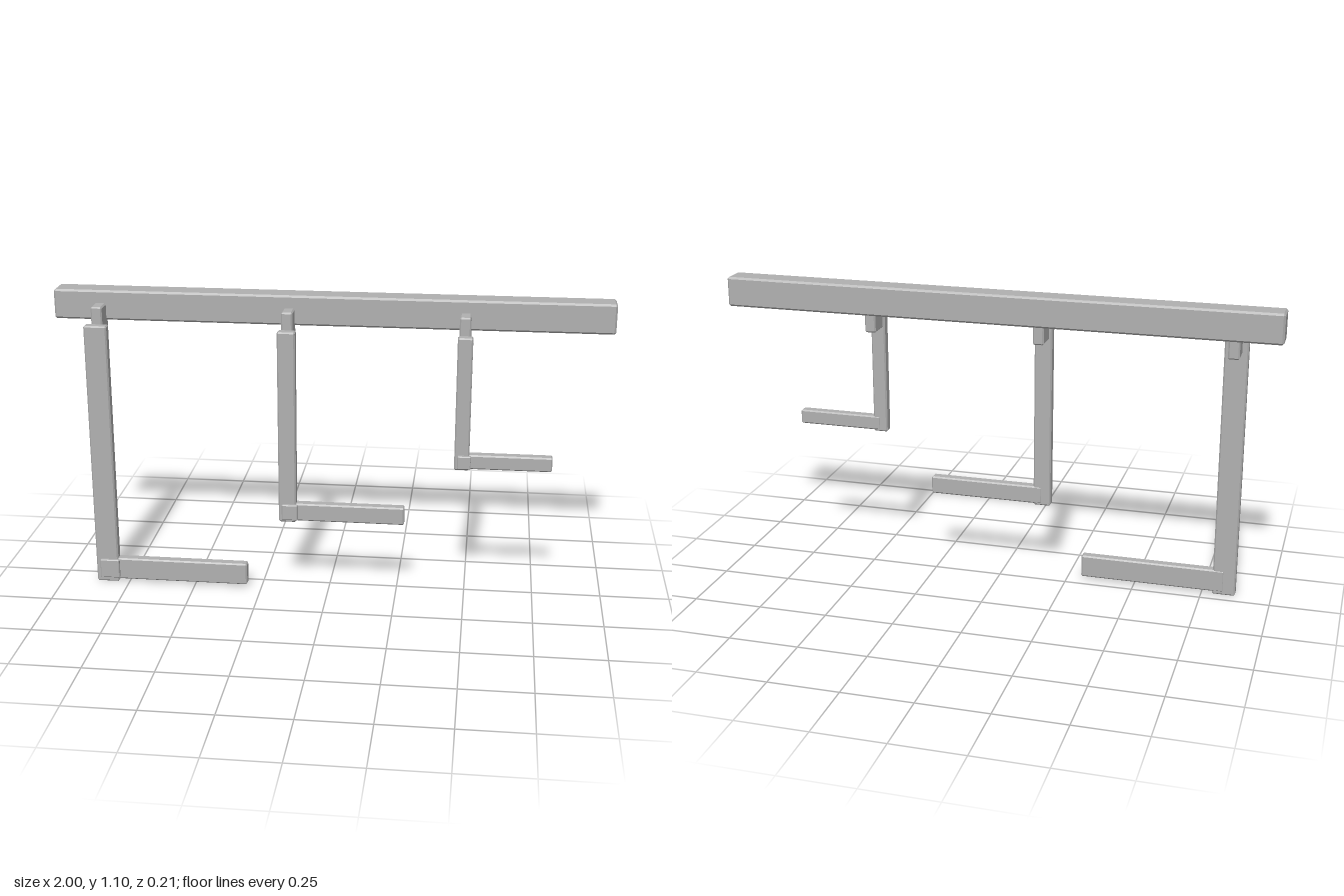
import * as THREE from 'three';
import { ConvexGeometry } from 'three/addons/geometries/ConvexGeometry.js';

const grey = new THREE.MeshStandardMaterial({ color: 0xb0b0b0 });
grey.name = 'grey';

// Box with chamfered edges, given by its [min, max] range on each axis
function chamferBox(name, x, y, z, bevel) {
  const ranges = [x, y, z];
  const half = ranges.map(([a, b]) => (b - a) / 2);
  const points = [];
  for (const sx of [-1, 1]) for (const sy of [-1, 1]) for (const sz of [-1, 1]) {
    for (let full = 0; full < 3; full++) {
      const c = [sx, sy, sz].map((s, i) => s * (half[i] - (i === full ? 0 : bevel)));
      points.push(new THREE.Vector3(...c));
    }
  }
  const mesh = new THREE.Mesh(new ConvexGeometry(points), grey);
  mesh.name = name;
  mesh.position.set(...ranges.map(([a, b]) => (a + b) / 2));
  return mesh;
}

// Hanging L-shaped arms, from longest to shortest
const ARMS = [
  { bracket: -0.83, post: [-0.872, -0.789], bottom: 0, z: [0.041, 0.078],
    foot: [-0.83, -0.302], footY: [0.011, 0.094], cap: [-0.855, -0.783], capY: [0.021, 0.092], front: 0.091 },
  { bracket: -0.148, post: [-0.179, -0.115], bottom: 0.275, z: [0.046, 0.083],
    foot: [-0.147, 0.278], footY: [0.281, 0.347], cap: [-0.166, -0.108], capY: [0.288, 0.346], front: 0.097 },
  { bracket: 0.476, post: [0.452, 0.505], bottom: 0.505, z: [0.051, 0.088],
    foot: [0.478, 0.797], footY: [0.51, 0.563], cap: [0.463, 0.511], capY: [0.514, 0.562], front: 0.103 },
];

export function createModel() {
  const model = new THREE.Group();
  model.name = 'hangingArms';

  // Top beam
  model.add(chamferBox('beam', [-1, 0.996], [0.99, 1.098], [-0.103, -0.014], 0.007));

  for (const a of ARMS) {
    const arm = new THREE.Group();
    arm.name = 'arm';
    // Bracket joining the post to the beam
    arm.add(chamferBox('bracket', [a.bracket - 0.02, a.bracket + 0.02], [0.91, 1.052], [-0.035, 0.048], 0.005));
    // Post, foot and the square cap over the corner
    arm.add(chamferBox('post', a.post, [a.bottom, 0.99], a.z, 0.005));
    arm.add(chamferBox('foot', a.foot, a.footY, [a.z[0] - 0.002, a.z[1] - 0.002], 0.005));
    arm.add(chamferBox('cornerCap', a.cap, a.capY, [a.z[1] - 0.002, a.front], 0.003));
    model.add(arm);
  }
  return model;
}
